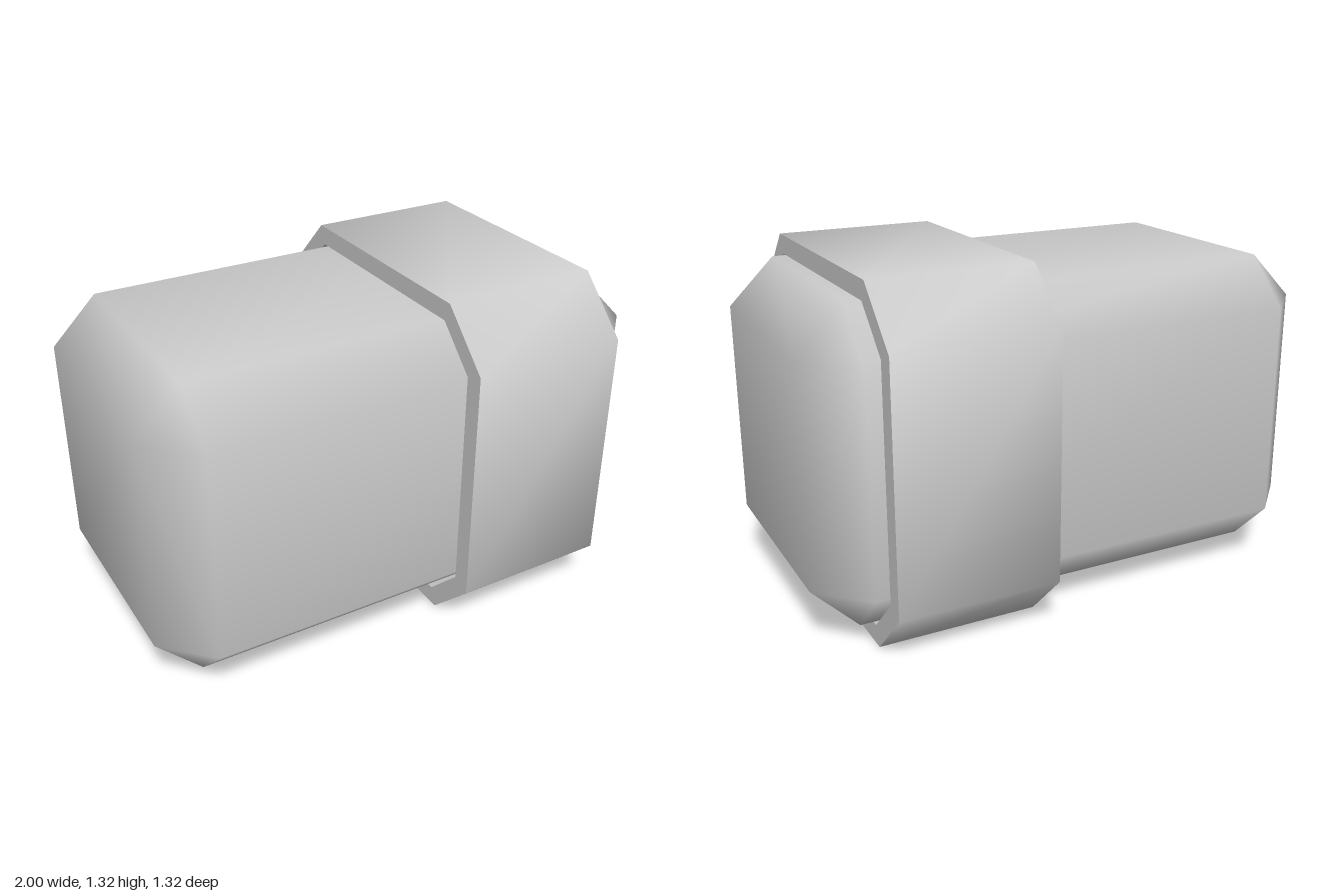
import * as THREE from 'three';
import { ConvexGeometry } from 'three/addons/geometries/ConvexGeometry.js';
import { mergeVertices, toCreasedNormals } from 'three/addons/utils/BufferGeometryUtils.js';

const CENTER_Y = 0.66;

// Box with 45 degree chamfers on every edge, shaded smoothly
function chamferedBox(hx, hy, hz, c) {
  const points = [];
  for (const x of [-1, 1]) for (const y of [-1, 1]) for (const z of [-1, 1]) {
    points.push(
      new THREE.Vector3(x * hx, y * (hy - c), z * (hz - c)),
      new THREE.Vector3(x * (hx - c), y * hy, z * (hz - c)),
      new THREE.Vector3(x * (hx - c), y * (hy - c), z * hz)
    );
  }
  const hull = new ConvexGeometry(points);
  hull.deleteAttribute('normal');
  const geometry = mergeVertices(hull);
  geometry.computeVertexNormals();
  return geometry;
}

// Corners of a square with cut corners, counter-clockwise
function cutSquare(h, c) {
  const k = h - c;
  return [[h, -k], [h, k], [k, h], [-k, h], [-h, k], [-h, -k], [-k, -h], [k, -h]]
    .map(([x, y]) => new THREE.Vector2(x, y));
}

export function createModel() {
  const group = new THREE.Group();
  const material = new THREE.MeshStandardMaterial({ color: 0xcccccc });

  // Long chamfered body
  const body = new THREE.Mesh(chamferedBox(1, 0.585, 0.585, 0.175), material);
  body.name = 'body';
  body.position.y = CENTER_Y;
  group.add(body);

  // Eight-sided band around the body, open through the middle
  const shape = new THREE.Shape(cutSquare(0.66, 0.2));
  shape.holes.push(new THREE.Path(cutSquare(0.587, 0.155).reverse()));
  const bandGeometry = toCreasedNormals(
    new THREE.ExtrudeGeometry(shape, { depth: 0.615, bevelEnabled: false }).rotateY(Math.PI / 2),
    Math.PI / 3
  );
  const band = new THREE.Mesh(bandGeometry, material);
  band.name = 'band';
  band.position.set(0.16, CENTER_Y, 0);
  group.add(band);

  return group;
}
